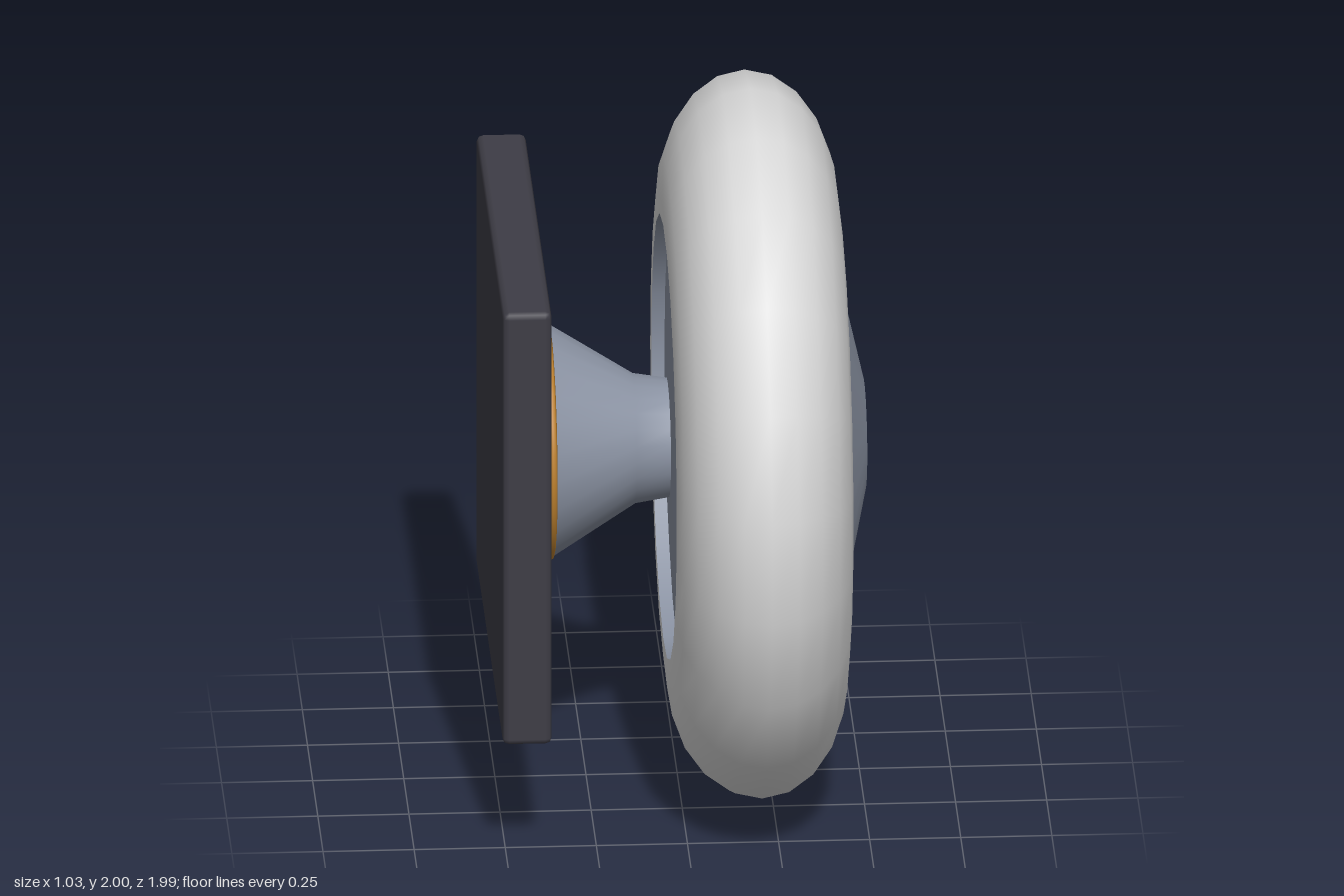
import * as THREE from 'three';
import { RoundedBoxGeometry } from 'three/addons/geometries/RoundedBoxGeometry.js';

const SIDES = 21;
const material = (name, color) => {
  const m = new THREE.MeshStandardMaterial({ color });
  m.name = name;
  return m;
};

export function createModel() {
  const tyreWhite = material('tyre white', 0xdadada);
  const hubBlue = material('hub blue grey', 0x8b93a3);
  const darkMetal = material('dark metal', 0x3e3d46);
  const brass = material('brass', 0xc0832f);

  const model = new THREE.Group();
  model.name = 'wheelMount';

  // Everything round turns about the axle, which runs along x
  const axle = new THREE.Group();
  axle.name = 'axleParts';
  axle.rotation.z = -Math.PI / 2;
  axle.position.set(0, 1, 0.005);
  model.add(axle);

  // profile: [radius, position along the axle]
  const turn = (name, mat, profile, sides = SIDES) => {
    const pts = profile.map(([r, x]) => new THREE.Vector2(r, x));
    const mesh = new THREE.Mesh(new THREE.LatheGeometry(pts, sides, Math.PI), mat);
    mesh.name = name;
    axle.add(mesh);
    return mesh;
  };

  // Tyre: flat side walls joined by a half-ellipse tread
  const tyre = [[0.615, -0.036]];
  for (let i = 0; i <= 10; i++) {
    const a = (i / 10) * Math.PI;
    tyre.push([0.67 + 0.333 * Math.sin(a), 0.205 - 0.241 * Math.cos(a)]);
  }
  tyre.push([0.615, 0.446]);
  turn('tyre', tyreWhite, tyre);

  // Hub: recessed faces with short rim walls
  turn('rimWallOuter', hubBlue, [[0.615, 0.446], [0.615, 0.41]]);
  turn('hubFaceOuter', hubBlue, [[0.615, 0.41], [0.155, 0.513]]);
  turn('rimWallInner', hubBlue, [[0.615, 0], [0.615, -0.036]]);
  turn('hubFaceInner', hubBlue, [[0.1, -0.03], [0.615, 0]]);
  turn('hubCap', darkMetal, [[0.155, 0.513], [0, 0.513]], 32);

  // Flared stem and its collar ring
  turn('stem', hubBlue, [[0.33, -0.385], [0.325, -0.355], [0.18, -0.12], [0.165, -0.025]], 24);
  const ring = new THREE.Mesh(new THREE.TorusGeometry(0.32, 0.012, 8, 24), brass);
  ring.name = 'collarRing';
  ring.rotation.x = Math.PI / 2;
  ring.position.y = -0.358;
  axle.add(ring);

  // Square mounting plate with chamfered edges
  const plate = new THREE.Mesh(new RoundedBoxGeometry(0.135, 1.284, 1.284, 1, 0.018), darkMetal);
  plate.name = 'mountingPlate';
  plate.position.set(-0.447, 1.002, 0);
  model.add(plate);

  return model;
}
